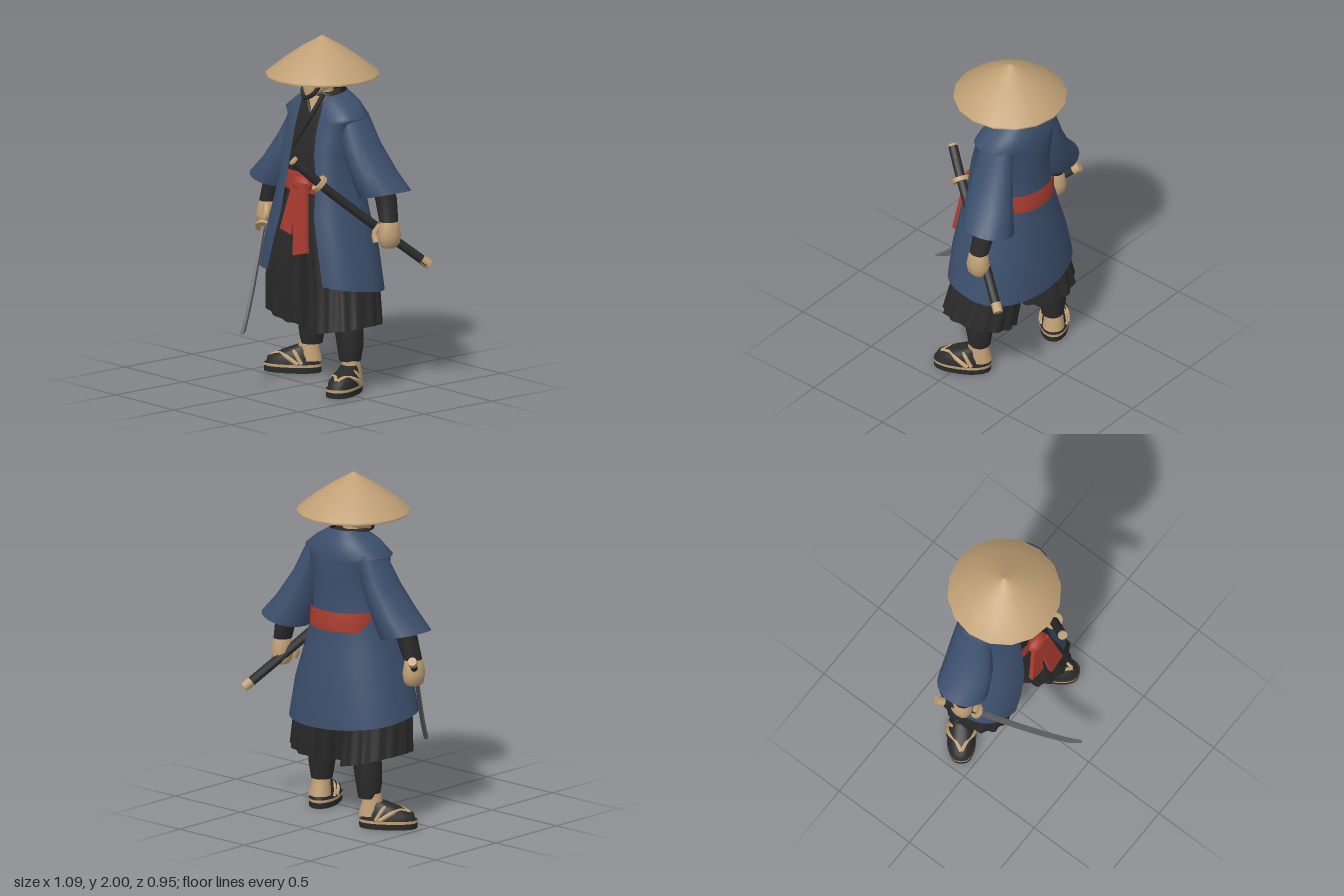
import * as THREE from 'three';

const mat = (name, color) => {
  const m = new THREE.MeshStandardMaterial({ color });
  m.name = name;
  return m;
};
const V = (a) => new THREE.Vector3(...a);
const V2 = (a) => new THREE.Vector2(...a);

// Skin over rings listed top to bottom: [y, cx, cz, rx, rz, tiltX, tiltZ, gapLeft, gapRight]
// pow squares off the front half of each ring; the back half stays elliptical; flip faces inward
function loft(rings, { seg = 20, pow = 1, open = false, cap = false, flip = false, pleats = 0, depth = 0 } = {}) {
  if (cap) {
    const first = rings[0], last = rings[rings.length - 1];
    const end = (r) => [r[0], r[1], r[2], 0.001, 0.001];
    rings = [end(first), first, ...rings, last, end(last)];
  }
  const pos = [], idx = [], cols = open ? seg + 1 : seg;
  rings.forEach(([y, cx, cz, rx, rz, tx = 0, tz = 0, gl = 0, gr = 0], i) => {
    const t0 = open ? Math.asin((gl / rx) ** (1 / pow)) : 0;
    const t1 = Math.PI * 2 - (open ? Math.asin((gr / rx) ** (1 / pow)) : 0);
    for (let j = 0; j < cols; j++) {
      const t = t0 + (t1 - t0) * j / seg;
      const e = Math.cos(t) < 0 ? 0.95 : pow;
      const sp = (v) => Math.sign(v) * Math.abs(v) ** e;
      const k = 1 + depth * (i / (rings.length - 1)) * Math.cos(t * pleats);
      const dx = rx * k * sp(Math.sin(t)), dz = rz * k * sp(Math.cos(t));
      pos.push(cx + dx, y + tx * dx + tz * dz, cz + dz);
    }
  });
  for (let i = 0; i < rings.length - 1; i++) {
    for (let j = 0; j < seg; j++) {
      const a = i * cols + j, b = i * cols + (j + 1) % cols;
      idx.push(a, a + cols, b, b, a + cols, b + cols);
    }
  }
  const g = new THREE.BufferGeometry();
  g.setAttribute('position', new THREE.Float32BufferAttribute(pos, 3));
  g.setIndex(flip ? idx.reverse() : idx);
  g.computeVertexNormals();
  return g;
}

const tube = (pts, r, seg = 16) =>
  new THREE.TubeGeometry(new THREE.CatmullRomCurve3(pts.map(V)), seg, r, 8);

export function createModel() {
  const root = new THREE.Group();
  root.name = 'wanderingSwordsman';
  const tan = mat('strawAndSkin', 0xc0a075);
  const shade = mat('hatLining', 0x352c1f);
  const blue = mat('indigoCloth', 0x3c4f6c);
  const black = mat('blackCloth', 0x2a2a2a);
  const red = mat('redSash', 0xa83c30);
  const steel = mat('steel', 0x66666a);

  const add = (name, geo, m, parent = root) => {
    const mesh = new THREE.Mesh(geo, m);
    mesh.name = name;
    parent.add(mesh);
    return mesh;
  };
  // Cylinder running from a to b
  const rod = (name, a, b, r, m) => {
    const d = V(b).sub(V(a));
    const mesh = add(name, new THREE.CylinderGeometry(r, r, d.length(), 10), m);
    mesh.position.copy(V(a)).addScaledVector(d, 0.5);
    mesh.quaternion.setFromUnitVectors(new THREE.Vector3(0, 1, 0), d.normalize());
  };

  // Hat with dark lining, head and chin strap
  const hatPart = (name, profile, m) => {
    add(name, new THREE.LatheGeometry(profile.map(V2), 16), m).position.z = -0.103;
  };
  hatPart('strawHat', [[0.318, 1.768], [0.322, 1.783], [0.23, 1.856], [0.12, 1.932], [0.001, 2.0]], tan);
  hatPart('hatLining', [[0.001, 1.93], [0.2, 1.835], [0.318, 1.768]], shade);
  add('head', loft([[1.86, -0.01, -0.1, 0.075, 0.085], [1.77, -0.01, -0.095, 0.085, 0.095],
    [1.7, -0.015, -0.08, 0.073, 0.085], [1.655, -0.02, -0.045, 0.04, 0.045]], { cap: true }), tan);
  add('neck', new THREE.CylinderGeometry(0.055, 0.065, 0.16, 14), tan).position.set(0, 1.65, -0.11);
  add('chinStrap', tube([[-0.088, 1.79, -0.06], [-0.078, 1.71, -0.03], [-0.02, 1.652, 0.014],
    [0.055, 1.69, 0.0], [0.082, 1.79, -0.04]], 0.013), black);

  // Inner shirt with skin showing in the neckline
  add('innerShirt', loft([[1.68, 0, -0.125, 0.08, 0.085], [1.62, 0, -0.13, 0.15, 0.11], [1.5, 0, -0.14, 0.21, 0.155],
    [1.35, 0, -0.12, 0.21, 0.18], [1.2, 0, -0.11, 0.2, 0.165], [1.05, 0, -0.11, 0.2, 0.165]],
  { seg: 28, pow: 0.75, cap: true }), black);
  const vee = new THREE.Shape([[-0.045, 0.11], [0.03, 0], [0.06, 0.11]].map(V2));
  const neckline = add('neckline', new THREE.ShapeGeometry(vee), tan);
  neckline.position.set(0, 1.565, 0.012);
  neckline.rotation.x = -0.4;
  add('leftLapel', tube([[0.075, 1.68, -0.05], [0.035, 1.56, 0.006], [-0.08, 1.36, 0.05]], 0.013), black);
  add('rightLapel', tube([[-0.07, 1.68, -0.05], [0.0, 1.6, -0.006], [0.04, 1.55, 0.006]], 0.013), black);

  // Open robe with overhanging shoulders and a black lining
  const robe = [
    [1.675, 0, -0.145, 0.11, 0.1, 0, -0.15, 0.08, 0.08],
    [1.625, 0, -0.16, 0.2, 0.137, 0, 0, 0.095, 0.09],
    [1.56, 0, -0.155, 0.285, 0.155, 0, 0, 0.1, 0.085],
    [1.53, 0, -0.15, 0.25, 0.165, 0, 0, 0.1, 0.08],
    [1.46, 0, -0.14, 0.232, 0.18, 0, 0, 0.105, 0.077],
    [1.35, 0, -0.12, 0.23, 0.19, 0, 0, 0.12, 0.07],
    [1.2, 0, -0.11, 0.232, 0.203, 0, 0, 0.15, 0.08],
    [1.0, 0, -0.11, 0.29, 0.23, 0, 0, 0.17, 0.1],
    [0.8, 0, -0.12, 0.35, 0.26, 0, 0.05, 0.22, 0.15],
    [0.6, 0, -0.125, 0.395, 0.27, -0.05, 0.14, 0.26, 0.2],
  ];
  const robeStyle = { seg: 40, pow: 0.65, open: true };
  add('robe', loft(robe, robeStyle), blue);
  add('robeLining', loft(robe, { ...robeStyle, flip: true }), black);

  // Sash, tucked under the robe in front, with knot and two hanging tails
  add('sash', loft([[1.235, 0, -0.135, 0.222, 0.205], [1.18, 0, -0.135, 0.226, 0.214], [1.125, 0, -0.135, 0.226, 0.214]],
    { seg: 32, pow: 0.7 }), red);
  const knot = add('sashKnot', new THREE.SphereGeometry(1, 12, 8), red);
  knot.position.set(0.05, 1.175, 0.09);
  knot.scale.set(0.07, 0.05, 0.045);
  [[[0.0, 0.04], [0.07, 0.04], [0.025, -0.265], [-0.07, -0.245]],
    [[0.03, 0.04], [0.115, 0.04], [0.178, -0.345], [0.07, -0.375]]].forEach((pts, i) => {
    const tail = add('sashTail', new THREE.ExtrudeGeometry(new THREE.Shape(pts.map(V2)),
      { depth: 0.026, bevelEnabled: false }), red);
    tail.position.set(0, 1.15, 0.095 + i * 0.01);
    tail.rotation.x = -0.13;
  });

  // Limbs, one pass per side; the stance is staggered in z
  const sides = [
    { n: 'left', s: 1, hem: [0.35, 0.235, -0.08], hemTilt: 0.2, ankle: [0.255, -0.09], foot: [0.298, -0.022], turn: 0.47, cuffX: 0.372, arm: [-0.18, -0.21, -0.25], hand: -0.23 },
    { n: 'right', s: -1, hem: [0.372, -0.208, -0.14], hemTilt: -0.28, ankle: [-0.228, -0.22], foot: [-0.308, -0.168], turn: -0.92, cuffX: 0.392, arm: [-0.14, -0.11, -0.09], hand: -0.07 },
  ];
  for (const { n, s, hem, hemTilt, ankle, foot, turn, cuffX, arm, hand } of sides) {
    // Pleated trouser leg and shin
    add(n + 'TrouserLeg', loft([[1.15, s * 0.06, -0.115, 0.13, 0.155], [0.95, s * 0.11, -0.11, 0.15, 0.18],
      [0.75, s * 0.165, -0.11, 0.165, 0.2], [0.6, s * 0.19, -0.11, 0.168, 0.203],
      [...hem, 0.178, 0.21, hemTilt, 0]],
    { seg: 72, pow: 0.85, cap: true, pleats: 14, depth: 0.055 }), black);
    const [ax, az] = ankle;
    add(n + 'Shin', loft([[0.6, ax * 0.8, az, 0.1, 0.1], [0.34, ax * 0.96, az, 0.08, 0.08], [0.26, ax, az, 0.075, 0.075],
      [0.17, ax, az, 0.06, 0.062]], { cap: true }), black);

    // Sandalled foot, toe along local +z
    const f = new THREE.Group();
    f.name = n + 'Foot';
    f.position.set(foot[0], 0, foot[1]);
    f.rotation.y = turn;
    root.add(f);
    add('sole', loft([[0.045, 0, 0.015, 0.084, 0.166], [0, 0, 0.015, 0.082, 0.164]], { pow: 0.8, cap: true }), black, f);
    add('soleRim', loft([[0.05, 0, 0.015, 0.086, 0.168], [0.034, 0, 0.015, 0.086, 0.168]], { pow: 0.8 }), tan, f);
    add('sock', loft([[0.15, 0, -0.055, 0.045, 0.055], [0.115, 0, -0.01, 0.06, 0.1], [0.08, 0, 0.015, 0.074, 0.145],
      [0.04, 0, 0.015, 0.077, 0.155]], { pow: 0.85, cap: true }), black, f);
    add('ankle', loft([[0.2, 0, -0.075, 0.048, 0.05], [0.15, 0, -0.075, 0.052, 0.058], [0.07, 0, -0.085, 0.062, 0.068]]), tan, f);
    for (const q of [1, -1]) {
      add('toeStrap', tube([[q * 0.077, 0.05, -0.03], [q * 0.068, 0.088, 0.03], [q * 0.03, 0.103, 0.08], [0, 0.085, 0.135]], 0.013), tan, f);
    }
    add('instepStrap', tube([[0.07, 0.05, -0.05], [0.056, 0.115, -0.01], [0, 0.132, 0.015], [-0.056, 0.115, -0.01], [-0.07, 0.05, -0.05]], 0.012), tan, f);

    // Wide lined sleeve, forearm and fist
    const [z1, z2, z3] = arm;
    const cuff = [1.12, s * cuffX, z3, 0.137, 0.15, s * 0.25, 0];
    add(n + 'Sleeve', loft([[1.57, s * 0.19, -0.165, 0.065, 0.1], [1.4, s * 0.248, z1, 0.088, 0.125],
      [1.25, s * 0.315, z2, 0.117, 0.145], cuff, [1.135, s * cuffX, z3, 0.125, 0.137, s * 0.25, 0]]), blue);
    add(n + 'SleeveLining', loft([[1.26, s * 0.33, z3, 0.03, 0.03],
      [1.135, s * cuffX, z3, 0.125, 0.137, s * 0.25, 0]], { flip: true }), black);
    add(n + 'Forearm', loft([[1.28, s * 0.345, z2, 0.065, 0.065], [1.1, s * 0.39, (z3 + hand) / 2, 0.058, 0.063],
      [0.98, s * 0.425, hand, 0.05, 0.055]], { cap: true }), black);
    add(n + 'Fist', loft([[1.0, s * 0.425, hand, 0.035, 0.04], [0.96, s * 0.43, hand, 0.05, 0.058],
      [0.9, s * 0.432, hand, 0.06, 0.068], [0.855, s * 0.432, hand, 0.053, 0.062], [0.83, s * 0.43, hand, 0.035, 0.04]],
    { seg: 12, pow: 0.85, cap: true }), tan);
    add(n + 'Thumb', tube([[s * 0.4, 0.96, hand + 0.035], [s * 0.378, 0.91, hand + 0.06], [s * 0.395, 0.86, hand + 0.065]], 0.02, 6), tan);
  }

  // Drawn sword: a curved blade extruded in its own upright plane
  const blade = new THREE.Shape();
  blade.moveTo(0, 0.868);
  blade.splineThru([[0.15, 0.71], [0.35, 0.525], [0.5, 0.405], [0.594, 0.35]].map(V2));
  blade.lineTo(0.52, 0.352);
  blade.splineThru([[0.34, 0.48], [0.14, 0.665], [-0.01, 0.825]].map(V2));
  const bladeGeo = new THREE.ExtrudeGeometry(blade, { depth: 0.018, bevelEnabled: false });
  bladeGeo.translate(0, 0, -0.009);
  const sword = add('swordBlade', bladeGeo, steel);
  sword.position.set(-0.39, 0, 0);
  sword.rotation.y = -Math.atan2(0.47, 0.36);
  rod('swordGrip', [-0.505, 0.985, -0.155], [-0.385, 0.84, 0.005], 0.02, black);
  rod('swordPommel', [-0.522, 1.003, -0.178], [-0.5, 0.978, -0.148], 0.026, tan);
  rod('swordGuard', [-0.392, 0.85, -0.002], [-0.384, 0.84, 0.008], 0.045, tan);

  // Sheathed sword worn at the left hip
  add('scabbard', tube([[0.125, 1.338, 0.213], [0.2, 1.205, 0.09], [0.325, 1.0, -0.13], [0.515, 0.72, -0.44]], 0.027, 20), black);
  rod('hiltCap', [0.121, 1.345, 0.22], [0.126, 1.336, 0.211], 0.027, tan);
  rod('scabbardGuard', [0.197, 1.212, 0.098], [0.206, 1.196, 0.082], 0.052, tan);
  rod('scabbardTip', [0.497, 0.747, -0.412], [0.52, 0.713, -0.449], 0.028, tan);
  return root;
}
